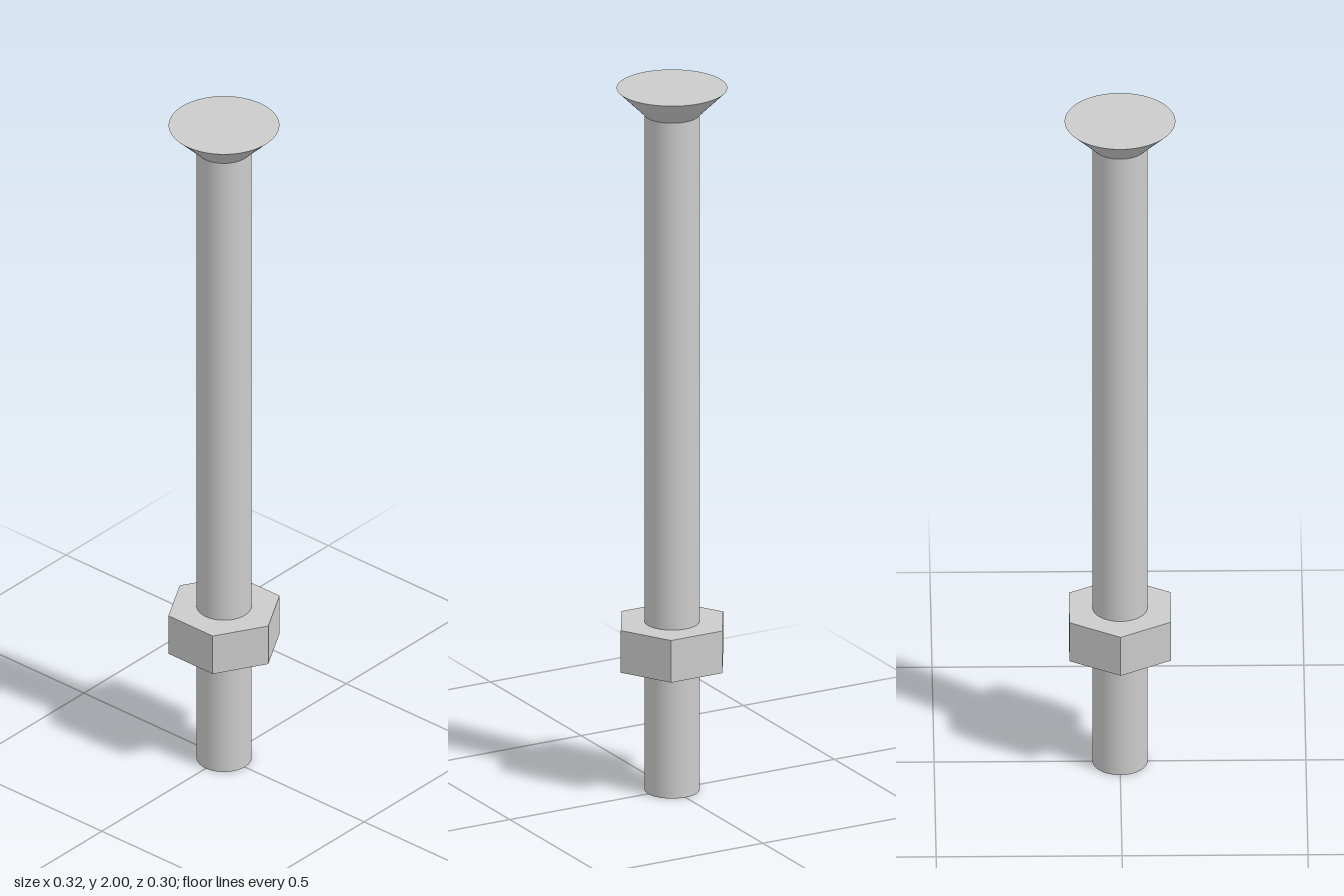
import * as THREE from 'three';

export function createModel() {
  const bolt = new THREE.Group();
  bolt.name = 'countersunkBoltWithNut';

  const steel = new THREE.MeshStandardMaterial({ color: 0xcccccc });
  steel.name = 'steel grey';

  const shaftRadius = 0.074;
  const headRadius = 0.149;
  const headBase = 1.925;

  const add = (name, geometry, y) => {
    const mesh = new THREE.Mesh(geometry, steel);
    mesh.name = name;
    mesh.position.y = y;
    bolt.add(mesh);
  };

  // Plain round shaft, from the ground up to the head
  add('shaft', new THREE.CylinderGeometry(shaftRadius, shaftRadius, headBase, 64), headBase / 2);

  // Countersunk head: flat top, 45 degree cone below
  add('head', new THREE.CylinderGeometry(headRadius, shaftRadius, 2 - headBase, 64), (2 + headBase) / 2);

  // Hexagonal nut with a hole for the shaft, corners pointing to the sides
  const outline = new THREE.Shape();
  for (let i = 0; i < 6; i++) {
    const a = (i * Math.PI) / 3;
    outline[i ? 'lineTo' : 'moveTo'](0.158 * Math.cos(a), 0.158 * Math.sin(a));
  }
  outline.closePath();
  outline.holes.push(new THREE.Path().absarc(0, 0, shaftRadius - 0.001, 0, Math.PI * 2, true));
  const nut = new THREE.ExtrudeGeometry(outline, { depth: 0.12, bevelEnabled: false, curveSegments: 32 });
  nut.rotateX(-Math.PI / 2);
  add('nut', nut, 0.36);

  return bolt;
}
